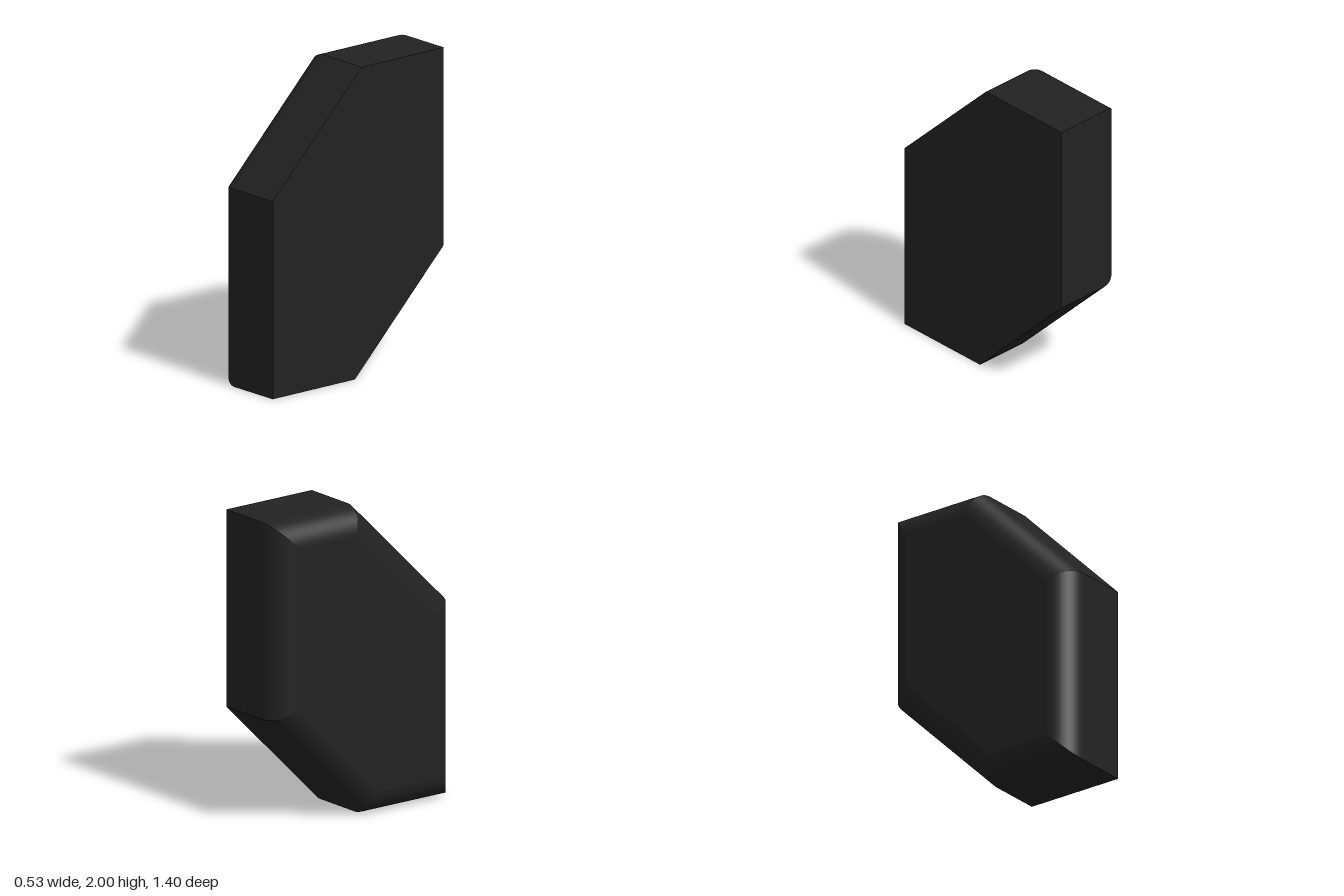
import * as THREE from 'three';

const HALF = 0.263; // half thickness along x
const R = 0.17; // radius of the rounded rim on the -x side
const STEPS = 16;

// Hexagon outline as (z, y), counter-clockwise seen from +x
const OUTLINE = [
  [0.7, 0], [0.027, 0], [-0.7, 0.727], [-0.7, 2], [-0.027, 2], [0.7, 1.273],
].map(([z, y]) => new THREE.Vector3(0, y, z));

const next = (i) => (i + 1) % OUTLINE.length;
const prev = (i) => (i + OUTLINE.length - 1) % OUTLINE.length;

// Outward normal of each side and mitre direction of each corner
const NORMALS = OUTLINE.map((p, i) => {
  const d = OUTLINE[next(i)].clone().sub(p);
  return new THREE.Vector3(0, d.z, -d.y).normalize();
});
const MITRES = NORMALS.map((n, i) => {
  const m = NORMALS[prev(i)];
  return n.clone().add(m).divideScalar(1 + n.dot(m));
});

// Corner i pulled inward by the inset, placed at x
function corner(i, x, inset) {
  const p = OUTLINE[i].clone().addScaledVector(MITRES[i], -inset);
  p.x = x;
  return p;
}

function makeGeometry(points, normals, index) {
  const g = new THREE.BufferGeometry().setFromPoints(points);
  g.setAttribute('normal', new THREE.Float32BufferAttribute(normals.flatMap((n) => n.toArray()), 3));
  g.setIndex(index);
  return g;
}

// One side: flat band that rolls over a quarter round, mitred at both ends
function sideGeometry(i) {
  const rows = [{ x: HALF, a: 0 }];
  for (let k = 0; k <= STEPS; k++) {
    const a = (k / STEPS) * Math.PI / 2;
    rows.push({ x: -HALF + R * (1 - Math.sin(a)), a });
  }
  const points = [], normals = [], index = [];
  rows.forEach(({ x, a }, j) => {
    const inset = R * (1 - Math.cos(a));
    const n = NORMALS[i].clone().multiplyScalar(Math.cos(a));
    n.x = -Math.sin(a);
    points.push(corner(i, x, inset), corner(next(i), x, inset));
    normals.push(n, n);
    if (j) {
      const k = 2 * (j - 1);
      index.push(k, k + 2, k + 1, k + 1, k + 2, k + 3);
    }
  });
  return makeGeometry(points, normals, index);
}

// Flat hexagonal face closing one end
function capGeometry(x, inset) {
  const points = OUTLINE.map((_, i) => corner(i, x, inset));
  const normals = points.map(() => new THREE.Vector3(Math.sign(x), 0, 0));
  const index = [];
  for (let i = 1; i < points.length - 1; i++) {
    index.push(...(x > 0 ? [0, i, i + 1] : [0, i + 1, i]));
  }
  return makeGeometry(points, normals, index);
}

export function createModel() {
  const group = new THREE.Group();
  group.name = 'hexagonalBlock';
  const material = new THREE.MeshStandardMaterial({ color: 0x222222 });
  const add = (name, geometry) => {
    const mesh = new THREE.Mesh(geometry, material);
    mesh.name = name;
    group.add(mesh);
  };

  // Six rounded sides
  ['bottomSide', 'lowerBackSlope', 'backSide', 'topSide', 'upperFrontSlope', 'frontSide']
    .forEach((name, i) => add(name, sideGeometry(i)));

  // Sharp-edged face on +x, rounded-edge face on -x
  add('flatFace', capGeometry(HALF, 0));
  add('roundedFace', capGeometry(-HALF, R));
  return group;
}
